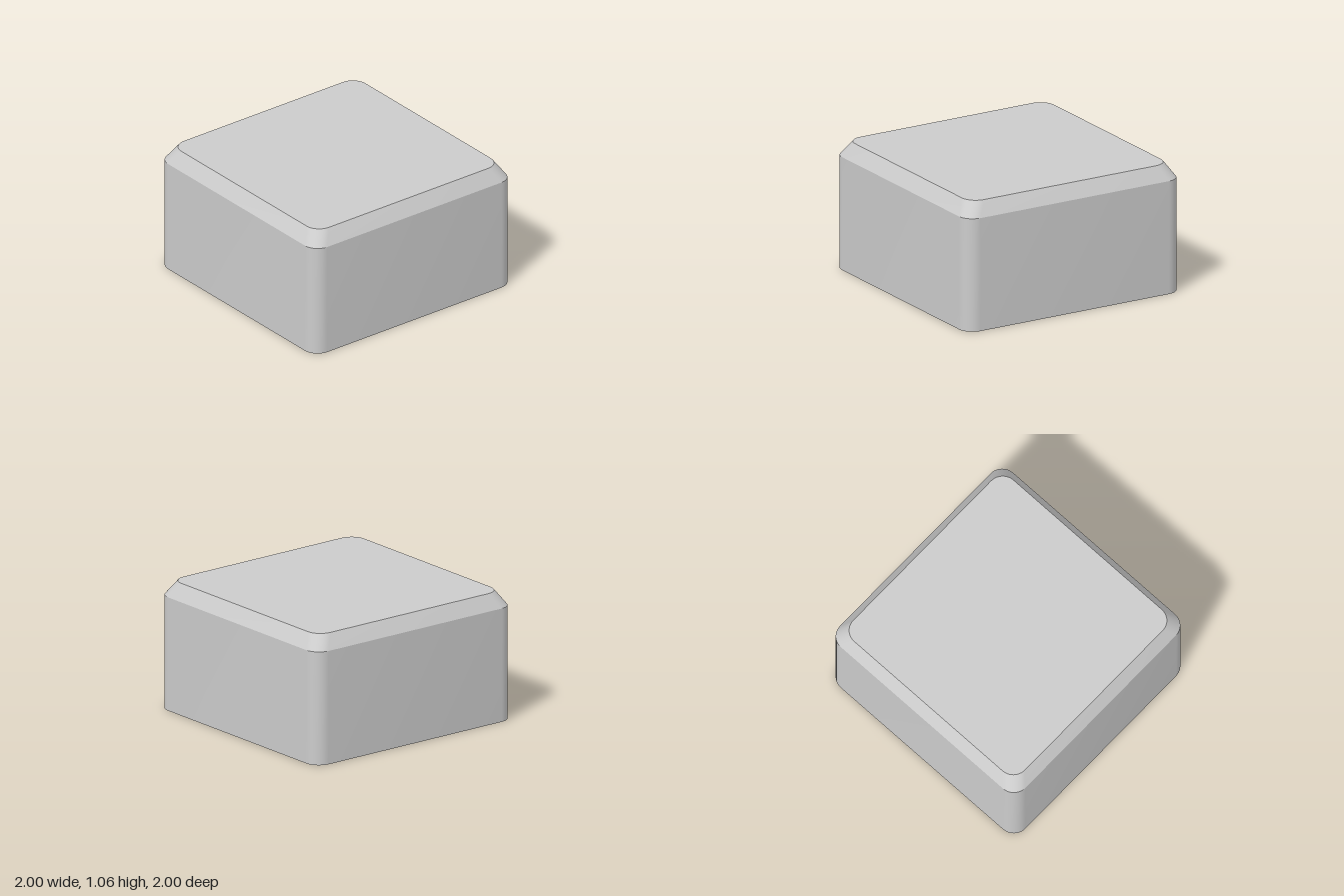
import * as THREE from 'three';
import { toCreasedNormals } from 'three/addons/utils/BufferGeometryUtils.js';

const CORNER_STEPS = 10;

// Outline of a rounded square at height y, running from +x towards +z
function roundedRing(half, radius, y) {
  const ring = [];
  for (let corner = 0; corner < 4; corner++) {
    const middle = (corner + 0.5) * Math.PI / 2;
    const cx = Math.sign(Math.cos(middle)) * (half - radius);
    const cz = Math.sign(Math.sin(middle)) * (half - radius);
    for (let i = 0; i <= CORNER_STEPS; i++) {
      const a = (corner + i / CORNER_STEPS) * Math.PI / 2;
      ring.push([cx + radius * Math.cos(a), y, cz + radius * Math.sin(a)]);
    }
  }
  return ring;
}

// Closed solid through a stack of rings, capped at both ends
function loft(rings) {
  const points = [];
  const n = rings[0].length;
  const bottom = rings[0], top = rings[rings.length - 1];
  const bottomCentre = [0, bottom[0][1], 0], topCentre = [0, top[0][1], 0];
  for (let i = 0; i < n; i++) {
    const j = (i + 1) % n;
    for (let k = 0; k < rings.length - 1; k++) {
      const a = rings[k], b = rings[k + 1];
      points.push(a[i], b[i], a[j], b[i], b[j], a[j]);
    }
    points.push(bottomCentre, bottom[i], bottom[j], topCentre, top[j], top[i]);
  }
  const geometry = new THREE.BufferGeometry();
  geometry.setAttribute('position', new THREE.Float32BufferAttribute(points.flat(), 3));
  return toCreasedNormals(geometry, 0.4);
}

export function createModel() {
  const group = new THREE.Group();
  group.name = 'bevelledBlock';

  // Straight rounded walls with a sloped bevel up to the flat top
  const block = new THREE.Mesh(
    loft([
      roundedRing(1, 0.125, 0),
      roundedRing(1, 0.125, 0.94),
      roundedRing(0.925, 0.125, 1.06),
    ]),
    new THREE.MeshStandardMaterial({ color: 0xcccccc })
  );
  block.name = 'block';
  group.add(block);
  return group;
}
